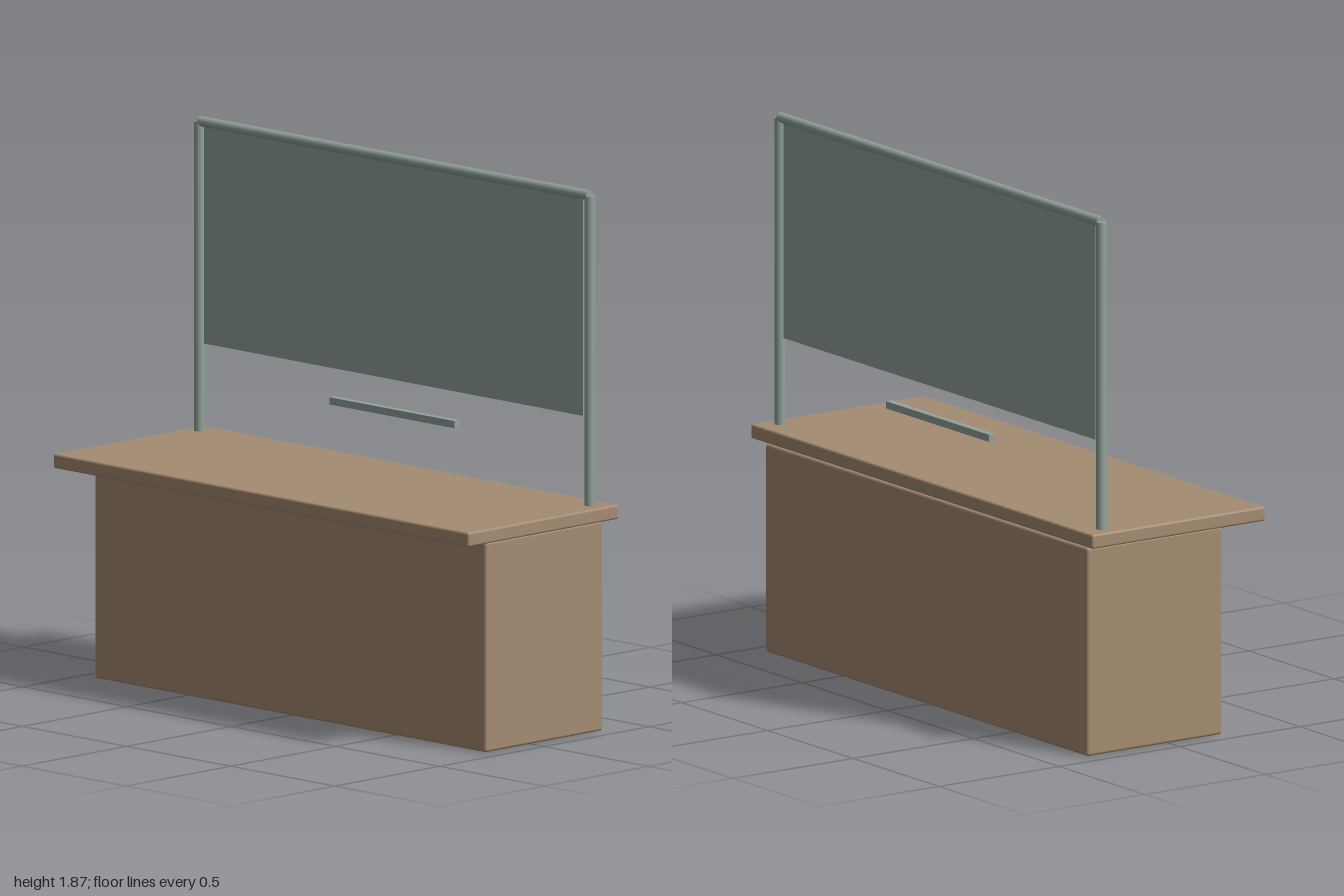
import * as THREE from 'three';
import { RoundedBoxGeometry } from 'three/addons/geometries/RoundedBoxGeometry.js';

export function createModel() {
  const model = new THREE.Group();
  const wood = new THREE.MeshStandardMaterial({ name: 'wood', color: 0xa58c72 });
  const metal = new THREE.MeshStandardMaterial({ name: 'greyGreenMetal', color: 0x92a39b });

  const add = (name, geometry, material, x, y, z) => {
    const mesh = new THREE.Mesh(geometry, material);
    mesh.name = name;
    mesh.position.set(x, y, z);
    model.add(mesh);
    return mesh;
  };
  const rounded = (w, h, d, r) => new RoundedBoxGeometry(w, h, d, 2, r);

  const frameZ = -0.28;

  // Counter: cabinet, a recessed joint and an overhanging top
  add('cabinet', rounded(1.88, 0.725, 0.56, 0.01), wood, 0, 0.3625, -0.06);
  add('recessedJoint', new THREE.BoxGeometry(1.84, 0.03, 0.53), metal, 0, 0.73, -0.06);
  add('counterTop', rounded(1.995, 0.05, 0.72, 0.008), wood, 0, 0.76, 0);

  // Round posts standing on the counter, joined by a top rail
  for (const side of [-1, 1]) {
    add(side > 0 ? 'leftPost' : 'rightPost',
      new THREE.CylinderGeometry(0.0185, 0.0185, 1.07, 20), metal, side * 0.937, 1.318, frameZ);
  }
  const rail = add('topRail',
    new THREE.CylinderGeometry(0.0175, 0.0175, 1.87, 20), metal, 0, 1.853, frameZ);
  rail.rotation.z = Math.PI / 2;

  // Hanging screen panel and the slim bar below it
  add('screenPanel', new THREE.BoxGeometry(1.82, 0.76, 0.01), metal, 0, 1.47, frameZ);
  add('lowerBar', new THREE.BoxGeometry(0.6, 0.025, 0.025), metal, 0, 0.977, frameZ);

  return model;
}
